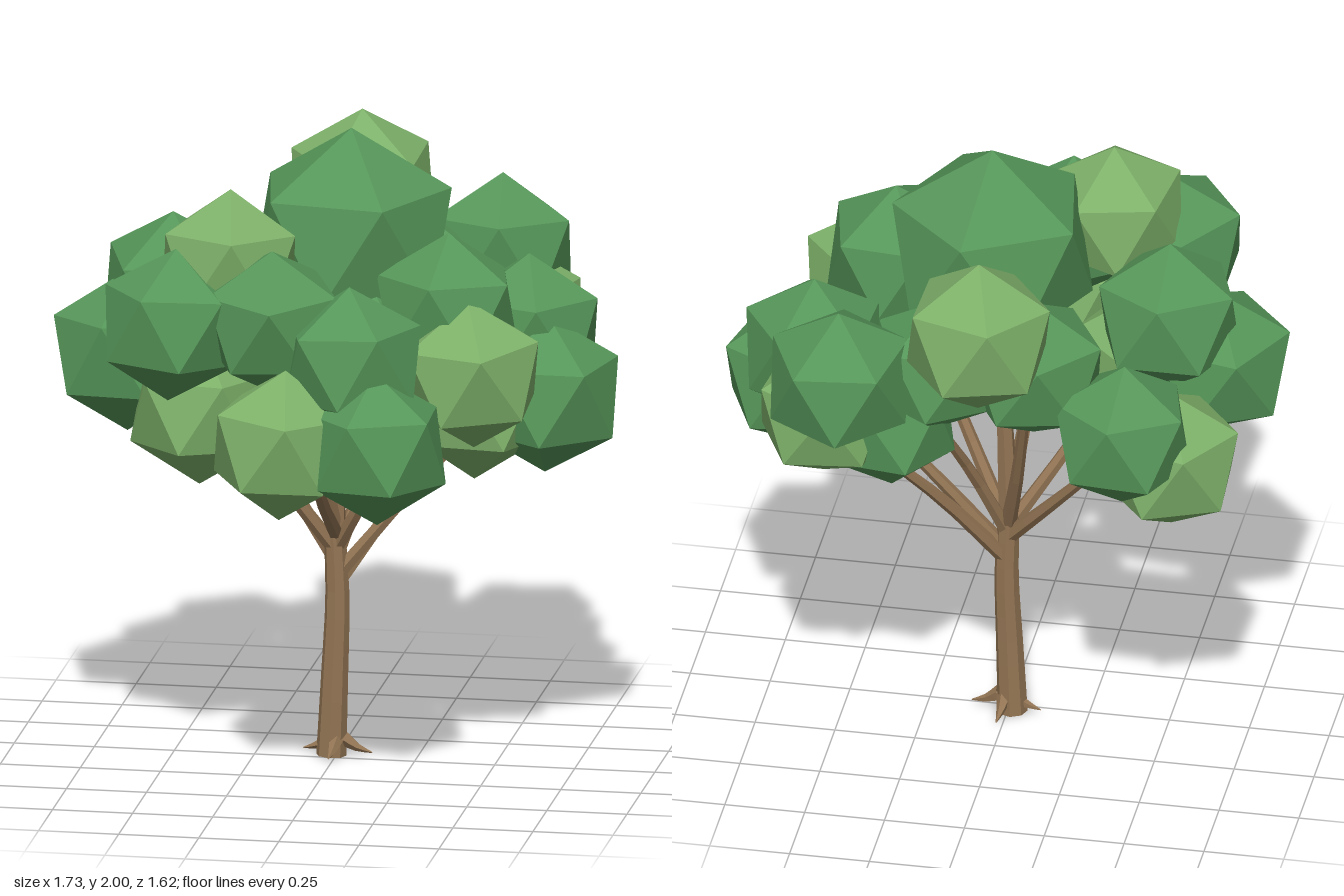
import * as THREE from 'three';

const mat = (color) => new THREE.MeshStandardMaterial({ color, flatShading: true });
const V = (p) => new THREE.Vector3(...p);

// Tube along a smooth path whose radius shrinks from r0 to r1
function limb(name, points, r0, r1, material, sides = 6, segments = 6) {
  const curve = new THREE.CatmullRomCurve3(points.map(V));
  const geo = new THREE.TubeGeometry(curve, segments, 1, sides, false);
  const pos = geo.attributes.position;
  const v = new THREE.Vector3();
  for (let i = 0; i < pos.count; i++) {
    const t = Math.floor(i / (sides + 1)) / segments;
    const c = curve.getPointAt(t);
    v.fromBufferAttribute(pos, i).sub(c).multiplyScalar(r0 + (r1 - r0) * t).add(c);
    pos.setXYZ(i, v.x, v.y, v.z);
  }
  const mesh = new THREE.Mesh(geo, material);
  mesh.name = name;
  return mesh;
}

export function createModel() {
  const tree = new THREE.Group();
  tree.name = 'tree';
  const bark = mat(0x937554);
  bark.side = THREE.DoubleSide;
  const darkLeaf = mat(0x569659);
  const lightLeaf = mat(0x7db069);

  // Trunk running up into the crown
  tree.add(limb('trunk', [[-0.015, 0, -0.03], [-0.005, 0.25, -0.03], [0.003, 0.5, -0.035], [-0.005, 0.7, -0.035]],
    0.047, 0.034, bark, 8, 8));
  tree.add(limb('leader', [[-0.005, 0.68, -0.035], [0.01, 1.05, -0.03], [0.03, 1.5, -0.03]], 0.034, 0.015, bark));
  const base = new THREE.Mesh(new THREE.CircleGeometry(0.047, 8), bark);
  base.name = 'trunkBase';
  base.rotation.x = Math.PI / 2;
  base.position.set(-0.015, 0.001, -0.03);
  tree.add(base);

  // Pointed roots around the foot
  for (let i = 0; i < 4; i++) {
    const a = 0.1 + (i * Math.PI) / 2;
    const at = (r, y) => [0.005 + Math.cos(a) * r, y, -0.03 + Math.sin(a) * r];
    tree.add(limb('root', [at(0.02, 0.055), at(0.06, 0.03), at(0.11, 0.015)], 0.025, 0.002, bark, 5, 4));
  }

  // Branches: start height, bend, tip
  const branches = [
    [0.54, [0.18, 0.8, -0.15], [0.44, 1.14, -0.35]],
    [0.57, [0.2, 0.81, -0.06], [0.5, 1.15, -0.1]],
    [0.62, [-0.17, 0.83, -0.14], [-0.45, 1.18, -0.3]],
    [0.65, [-0.18, 0.92, 0.06], [-0.4, 1.28, 0.2]],
    [0.7, [0.0, 0.93, 0.28], [0.06, 1.12, 0.5]],
    [0.64, [0.09, 0.9, -0.14], [0.2, 1.25, -0.36]],
    [0.66, [-0.05, 0.9, -0.15], [-0.13, 1.4, -0.36]],
    [0.66, [0.13, 0.9, 0.06], [0.36, 1.4, 0.16]],
    [0.7, [-0.04, 1.0, 0.09], [-0.15, 1.4, 0.35]],
  ];
  for (const [y, bend, tip] of branches) {
    tree.add(limb('branch', [[0, y, -0.035], bend, tip], 0.025, 0.012, bark));
  }

  // Leaf clumps: x, y, z, radius, light tone
  const clumps = [
    [0.048, 1.655, -0.03, 0.345, 0],
    [-0.012, 1.665, -0.58, 0.25, 1],
    [0.42, 1.475, -0.6, 0.245, 0],
    [-0.445, 1.3, -0.475, 0.235, 0],
    [-0.57, 1.155, -0.35, 0.235, 1],
    [-0.28, 1.635, 0.28, 0.235, 1],
    [-0.505, 1.47, -0.03, 0.245, 0],
    [-0.64, 1.28, 0.05, 0.25, 0],
    [0.575, 1.34, -0.2, 0.24, 0],
    [0.65, 1.17, -0.07, 0.25, 0],
    [0.38, 1.485, 0.16, 0.245, 0],
    [0.475, 1.32, 0.285, 0.24, 1],
    [0.485, 1.3, -0.49, 0.23, 1],
    [0.44, 1.14, -0.02, 0.235, 1],
    [0.29, 1.25, -0.44, 0.22, 0],
    [-0.15, 1.45, -0.38, 0.235, 0],
    [0.15, 1.45, -0.42, 0.225, 0],
    [-0.38, 1.155, 0.22, 0.24, 1],
    [-0.435, 1.47, 0.415, 0.24, 0],
    [-0.12, 1.49, 0.41, 0.235, 0],
    [0.14, 1.39, 0.48, 0.24, 0],
    [0.235, 1.155, 0.605, 0.24, 0],
    [-0.06, 1.15, 0.595, 0.24, 1],
    [0.11, 1.37, 0.13, 0.21, 0],
  ];
  const crown = new THREE.Group();
  crown.name = 'crown';
  // Icosahedron turned to stand on a corner
  const leafGeo = new THREE.IcosahedronGeometry(1, 0).rotateZ(0.5536);
  clumps.forEach(([x, y, z, r, light], i) => {
    const clump = new THREE.Mesh(leafGeo, light ? lightLeaf : darkLeaf);
    clump.name = 'leafClump';
    clump.position.set(x, y, z);
    clump.scale.setScalar(r);
    // Each clump has its own turn and a slight lean
    clump.rotation.set(0.07 * Math.sin(i * 2.4), 0.8 + i * 1.7, 0.07 * Math.sin(i * 3.1));
    crown.add(clump);
  });
  tree.add(crown);
  return tree;
}
